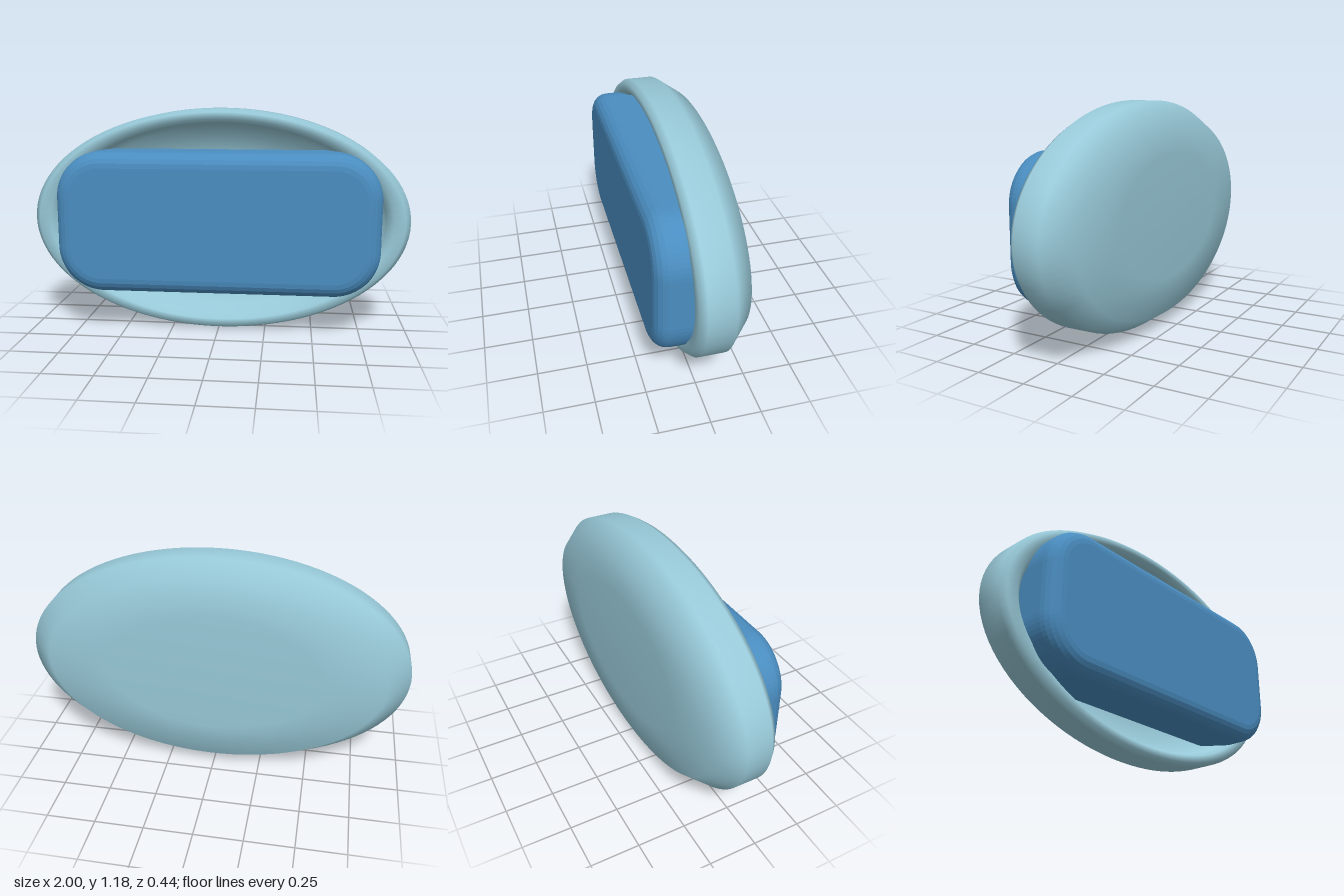
import * as THREE from 'three';

const CENTER_Y = 0.59;

// Oval dish: a lathed shell squashed in height, open to the front
function makeDish() {
  const profile = [
    [0, -0.22], [0.55, -0.22], [0.88, -0.2], [1, -0.095], [1, 0.035], [0.97, 0.067],
    [0.91, 0.067], [0.875, 0.03], [0.83, -0.07], [0.55, -0.13], [0, -0.14],
  ].map(([r, z]) => new THREE.Vector2(r, z));
  const geometry = new THREE.LatheGeometry(profile, 96);
  geometry.rotateX(Math.PI / 2);
  geometry.scale(1, CENTER_Y, 1);
  const dish = new THREE.Mesh(geometry, new THREE.MeshStandardMaterial({ color: 0x98c9d8 }));
  dish.name = 'ovalDish';
  dish.position.y = CENTER_Y;
  return dish;
}

// Rectangle outline with rounded corners, centred on the origin
function roundedRect(w, h, r) {
  const x = w / 2 - r, y = h / 2 - r;
  const shape = new THREE.Shape();
  shape.absarc(x, y, r, 0, Math.PI / 2);
  shape.absarc(-x, y, r, Math.PI / 2, Math.PI);
  shape.absarc(-x, -y, r, Math.PI, Math.PI * 1.5);
  shape.absarc(x, -y, r, Math.PI * 1.5, Math.PI * 2);
  return shape;
}

// Block with rounded corners and softened edges, set into the dish
function makeBlock() {
  const bevel = 0.08, front = 0.22, back = -0.12;
  const shape = roundedRect(1.68 - 2 * bevel, 0.74 - 2 * bevel, 0.24 - bevel);
  const geometry = new THREE.ExtrudeGeometry(shape, {
    depth: front - back - 2 * bevel,
    bevelEnabled: true,
    bevelThickness: bevel,
    bevelSize: bevel,
    bevelSegments: 5,
    curveSegments: 8,
  });
  const block = new THREE.Mesh(geometry, new THREE.MeshStandardMaterial({ color: 0x4a8dc0 }));
  block.name = 'roundedBlock';
  block.position.set(0, CENTER_Y + 0.003, back + bevel);
  return block;
}

export function createModel() {
  const group = new THREE.Group();
  group.name = 'blockInDish';
  group.add(makeDish(), makeBlock());
  return group;
}
